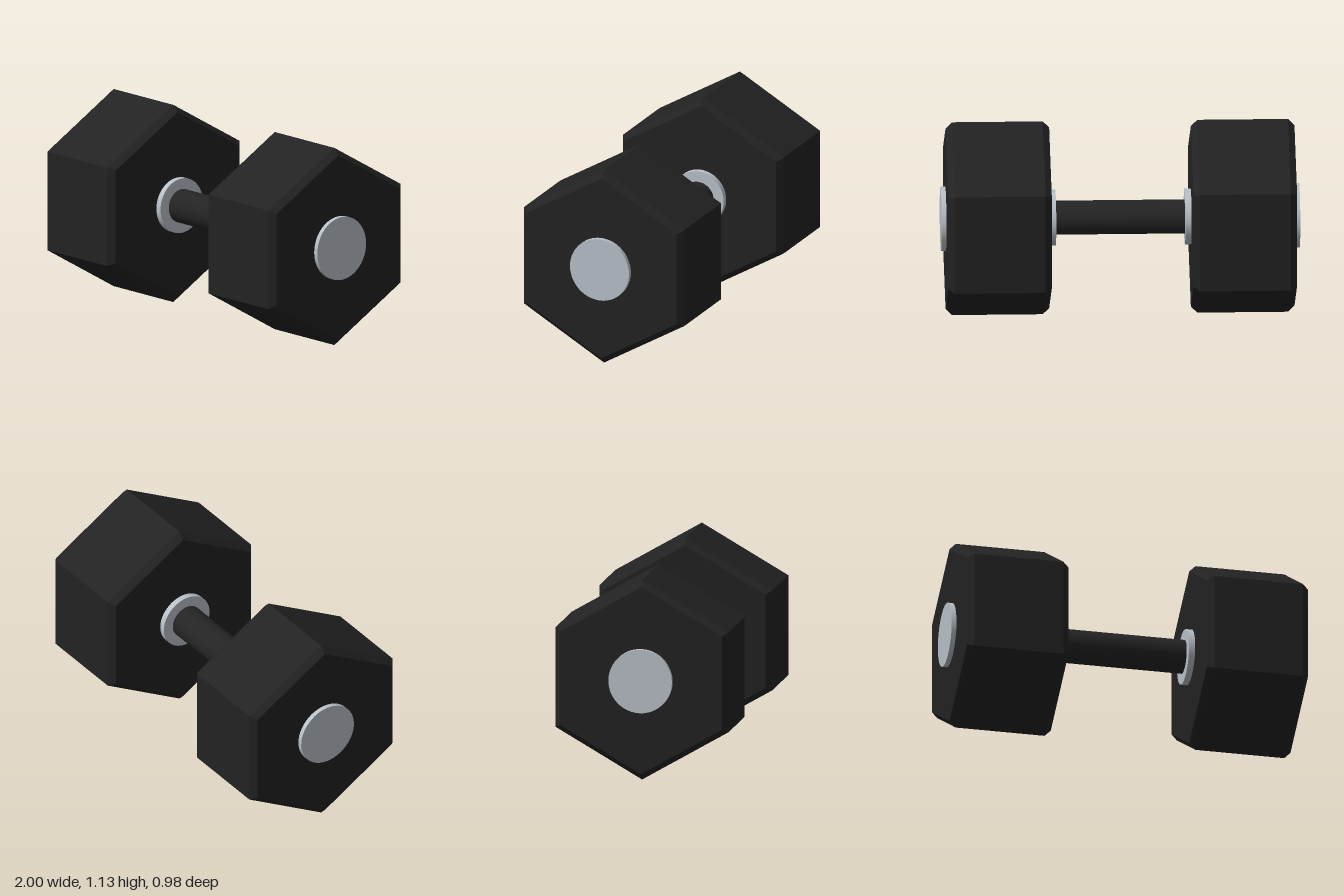
import * as THREE from 'three';

const AXIS_Y = 0.565; // height of the bar's centre line

function material(name, color) {
  const m = new THREE.MeshStandardMaterial({ color });
  m.name = name;
  return m;
}

// Cylinder lying along x between x0 and x1
function rod(name, radius, x0, x1, mat) {
  const geo = new THREE.CylinderGeometry(radius, radius, x1 - x0, 48);
  geo.rotateZ(-Math.PI / 2);
  geo.translate((x0 + x1) / 2, 0, 0);
  const mesh = new THREE.Mesh(geo, mat);
  mesh.name = name;
  return mesh;
}

// Hexagonal block with bevelled rims, a corner pointing straight up
function hexHead(x0, x1, radius, bevel, mat) {
  const profile = [
    [0, x0], [radius - bevel, x0], [radius, x0 + bevel],
    [radius, x1 - bevel], [radius - bevel, x1], [0, x1],
  ].map(([r, h]) => new THREE.Vector2(r, h));
  const geo = new THREE.LatheGeometry(profile, 6, Math.PI / 2).toNonIndexed();
  geo.computeVertexNormals(); // one normal per face
  geo.rotateZ(-Math.PI / 2);
  const mesh = new THREE.Mesh(geo, mat);
  mesh.name = 'hexHead';
  return mesh;
}

export function createModel() {
  const rubber = material('black rubber', 0x222222);
  const grip = material('dark grip', 0x242424);
  const steel = material('pale steel', 0xb8c0c8);

  const model = new THREE.Group();
  model.name = 'dumbbell';

  const bar = new THREE.Group();
  bar.name = 'bar';
  bar.position.y = AXIS_Y;
  bar.add(rod('handle', 0.095, -0.42, 0.42, grip));
  model.add(bar);

  // The same weight at both ends, turned half round for the right
  for (const side of ['left', 'right']) {
    const weight = new THREE.Group();
    weight.name = side + 'Weight';
    weight.position.y = AXIS_Y;
    if (side === 'right') weight.rotation.y = Math.PI;
    weight.add(
      hexHead(0.395, 0.973, 0.565, 0.036, rubber),
      rod('collar', 0.156, 0.36, 0.41, steel),
      rod('endCap', 0.18, 0.95, 1, steel),
    );
    model.add(weight);
  }
  return model;
}
